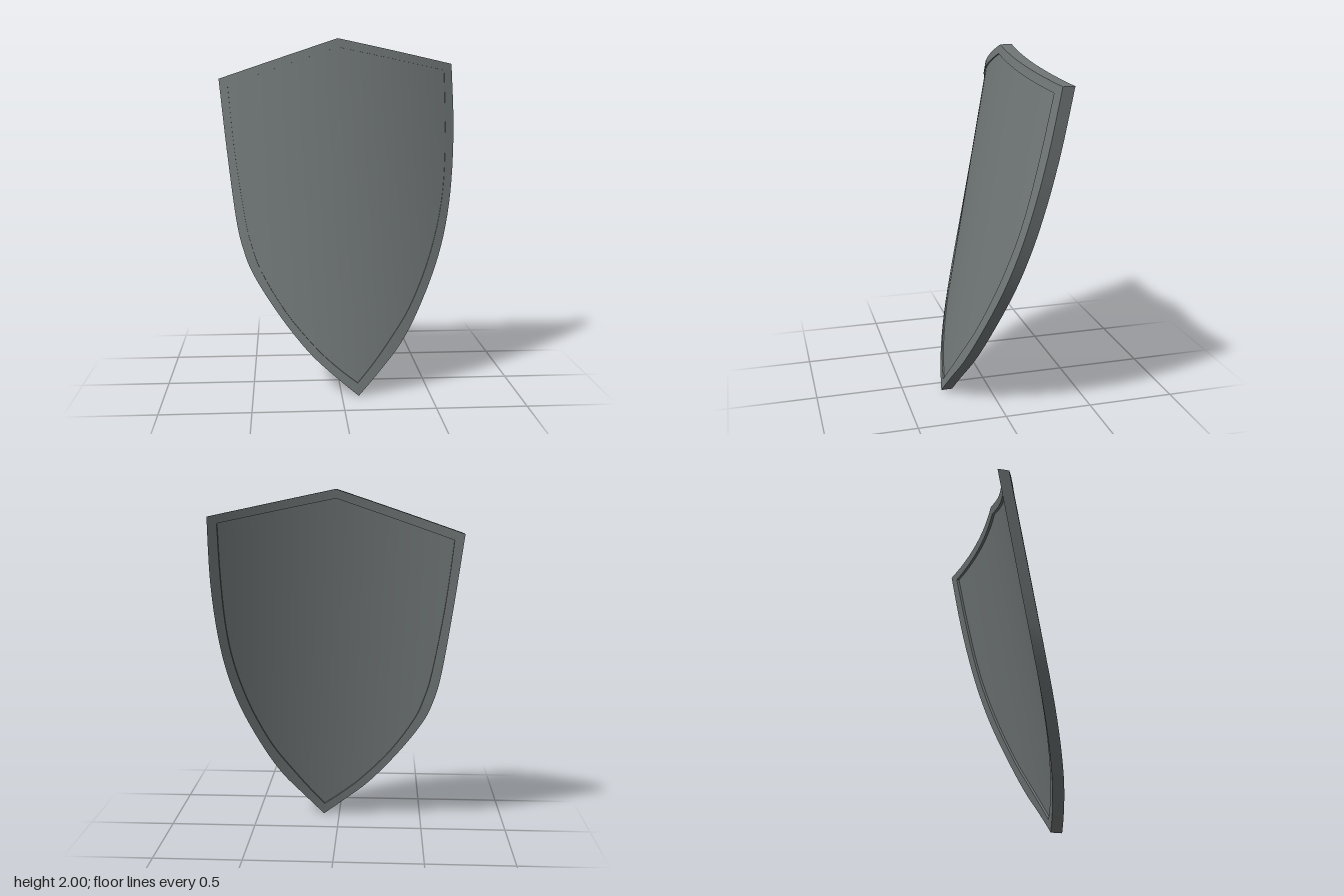
import * as THREE from 'three';

const THICK = 0.065, FRONT_RECESS = 0.008, BACK_RECESS = 0.015;
const SIDE = 32, TOP = 24;
const curve = pts => new THREE.SplineCurve(pts.map(p => new THREE.Vector2(...p)));

// Side curves run from the upper corners down to the tip
const outer = {
  peak: [0, 2],
  left: curve([[-0.69, 1.77], [-0.645, 1.365], [-0.593, 0.97], [-0.55, 0.79], [-0.49, 0.65],
    [-0.35, 0.44], [-0.185, 0.24], [-0.04, 0.11], [0.095, 0]]),
  right: curve([[0.683, 1.857], [0.688, 1.5], [0.667, 1.18], [0.624, 0.925], [0.555, 0.7],
    [0.444, 0.455], [0.34, 0.28], [0.222, 0.14], [0.095, 0]]),
};
const inner = {
  peak: [0, 1.95],
  left: curve([[-0.637, 1.735], [-0.6, 1.365], [-0.54, 0.97], [-0.5, 0.81], [-0.445, 0.67],
    [-0.31, 0.455], [-0.14, 0.26], [-0.01, 0.145], [0.09, 0.07]]),
  right: curve([[0.635, 1.82], [0.635, 1.5], [0.62, 1.2], [0.58, 0.96], [0.503, 0.71],
    [0.397, 0.48], [0.29, 0.32], [0.18, 0.175], [0.09, 0.07]]),
};

// Leaning, sideways-bowed front surface
function bowZ(x, y) {
  const u = x - 0.05 * (2 - y);
  return -0.1 + 0.19 * (2 - y) - 0.32 * u * u;
}

// Two straight top edges meeting at the peak
function topPoint(o, s) {
  const peak = new THREE.Vector2(...o.peak);
  return s < 0.5 ? o.left.getPoint(0).lerp(peak, s * 2) : peak.lerp(o.right.getPoint(0), s * 2 - 1);
}

// Point inside an outline: s across, v from the top edge to the tip
function inside(o, s, v) {
  const p = o.left.getPoint(v).lerp(o.right.getPoint(v), s);
  const straight = o.left.getPoint(0).lerp(o.right.getPoint(0), s);
  return p.addScaledVector(topPoint(o, s).sub(straight), 1 - v);
}

// Surface from a grid of points
function gridMesh(name, rows, material, flip = false) {
  const pos = [], idx = [], n = rows[0].length;
  rows.forEach(row => row.forEach(p => pos.push(...p)));
  for (let i = 0; i < rows.length - 1; i++) {
    for (let j = 0; j < n - 1; j++) {
      const a = i * n + j, b = a + n;
      const tris = [a, b, a + 1, a + 1, b, b + 1];
      idx.push(...(flip ? tris.reverse() : tris));
    }
  }
  const g = new THREE.BufferGeometry();
  g.setAttribute('position', new THREE.Float32BufferAttribute(pos, 3));
  g.setIndex(idx);
  g.computeVertexNormals();
  const mesh = new THREE.Mesh(g, material);
  mesh.name = name;
  return mesh;
}

const lift = (p, depth) => [p.x, p.y, bowZ(p.x, p.y) - depth];

// The four runs of an outline, kept apart so corners stay sharp
function runs(o) {
  const sample = (n, f) => Array.from({ length: n + 1 }, (_, i) => f(i / n));
  return [
    sample(SIDE, t => o.left.getPoint(t)),
    sample(SIDE, t => o.right.getPoint(1 - t)),
    sample(TOP / 2, t => topPoint(o, 1 - t / 2)),
    sample(TOP / 2, t => topPoint(o, 0.5 - t / 2)),
  ];
}

export function createModel() {
  const steel = new THREE.MeshStandardMaterial({ color: 0x6f7575 });
  steel.name = 'grey steel';
  const shield = new THREE.Group();
  shield.name = 'shield';

  // Recessed panels on both faces
  const panel = depth => Array.from({ length: SIDE + 1 }, (_, i) =>
    Array.from({ length: TOP + 1 }, (_, j) => lift(inside(inner, j / TOP, i / SIDE), depth)));
  shield.add(gridMesh('frontPanel', panel(FRONT_RECESS), steel));
  shield.add(gridMesh('backPanel', panel(THICK - BACK_RECESS), steel, true));

  // Rim: front face, outer edge, back face and the two inner steps
  const rim = new THREE.Group();
  rim.name = 'rim';
  const section = [
    ['rimFrontStep', inner, FRONT_RECESS, inner, 0],
    ['rimFront', inner, 0, outer, 0],
    ['rimEdge', outer, 0, outer, THICK],
    ['rimBack', outer, THICK, inner, THICK],
    ['rimBackStep', inner, THICK, inner, THICK - BACK_RECESS],
  ];
  for (const [name, o1, d1, o2, d2] of section) {
    const from = runs(o1), to = runs(o2);
    from.forEach((run, k) => rim.add(gridMesh(name,
      [run.map(p => lift(p, d1)), to[k].map(p => lift(p, d2))], steel)));
  }
  shield.add(rim);
  return shield;
}
